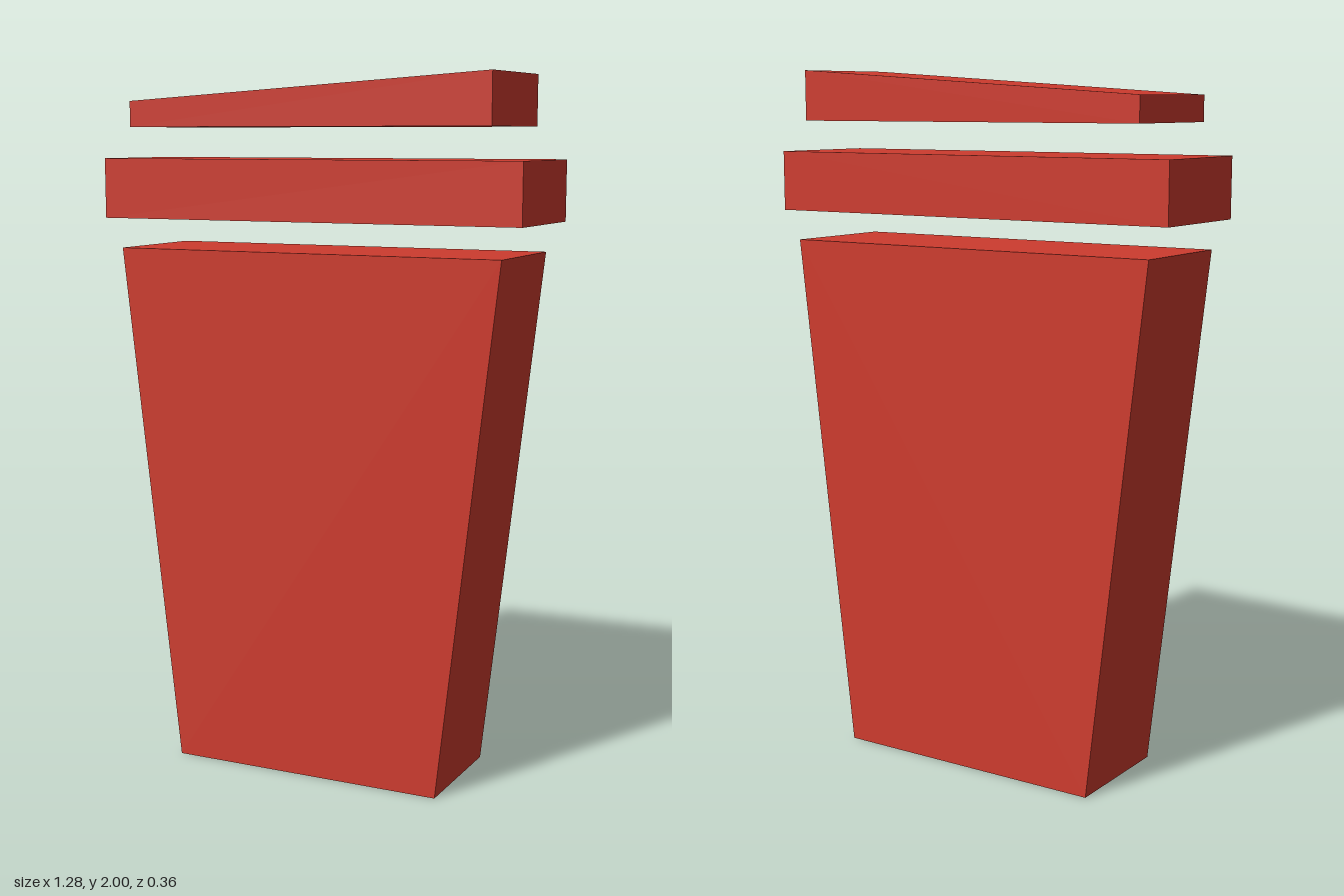
import * as THREE from 'three';

const DEPTH = 0.36;

// Flat-sided slab extruded along z from a front outline, centred on z = 0
function slab(name, outline, material) {
  const shape = new THREE.Shape(outline.map(([x, y]) => new THREE.Vector2(x, y)));
  const geometry = new THREE.ExtrudeGeometry(shape, { depth: DEPTH, bevelEnabled: false });
  geometry.translate(0, 0, -DEPTH / 2);
  const mesh = new THREE.Mesh(geometry, material);
  mesh.name = name;
  return mesh;
}

export function createModel() {
  const red = new THREE.MeshStandardMaterial({ color: 0xcd3b2e });
  red.name = 'red';

  const model = new THREE.Group();
  model.name = 'cup';

  // Tapered cup body
  model.add(slab('cupBody', [[-0.41, 0], [0.41, 0], [0.583, 1.512], [-0.583, 1.512]], red));

  // Floating rim band
  model.add(slab('rimBand', [[-0.638, 1.597], [0.638, 1.597], [0.638, 1.768], [-0.638, 1.768]], red));

  // Lid wedge, rising towards +x
  model.add(slab('lidWedge', [[-0.55, 1.857], [0.55, 1.857], [0.55, 2], [-0.55, 1.93]], red));

  return model;
}
